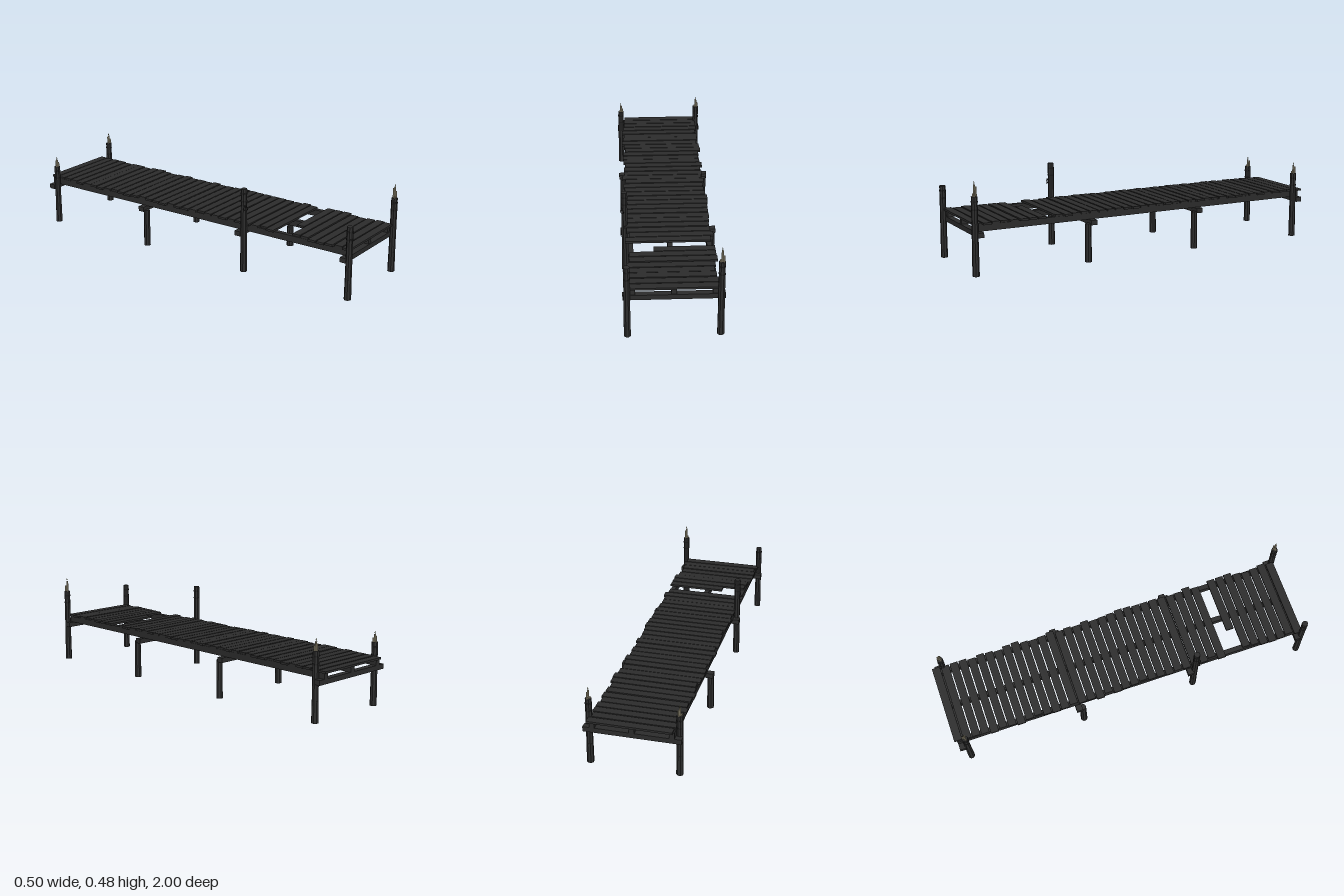
import * as THREE from 'three';

const wood = new THREE.MeshStandardMaterial({ color: 0x2c2c2c });
wood.name = 'dark wood';
const iron = new THREE.MeshStandardMaterial({ color: 0x222222 });
iron.name = 'dark iron';
const wax = new THREE.MeshStandardMaterial({ color: 0xaea58a });
wax.name = 'candle wax';
const flame = new THREE.MeshStandardMaterial({ color: 0x8a8660 });
flame.name = 'flame';

// Small repeatable generator for the uneven boards
let seed = 7;
const rand = () => {
  seed = (seed * 16807) % 2147483647;
  return seed / 2147483647 - 0.5;
};

function add(parent, name, geometry, material, x, y, z) {
  const mesh = new THREE.Mesh(geometry, material);
  mesh.name = name;
  mesh.position.set(x, y, z);
  parent.add(mesh);
  return mesh;
}

// Hard-edged upright prism standing on y = 0
function prism(rTop, rBottom, height, sides) {
  const g = new THREE.CylinderGeometry(rTop, rBottom, height, sides).toNonIndexed();
  g.rotateY(Math.PI / sides);
  g.translate(0, height / 2, 0);
  g.computeVertexNormals();
  return g;
}

// A cluster of one tall and two short candles on a post top
function candles(height) {
  const group = new THREE.Group();
  group.name = 'candles';
  const cluster = [[0, 0, 0.0055, 1], [0.008, 0.004, 0.0045, 0.56], [-0.008, 0.004, 0.004, 0.22], [0.003, -0.009, 0.004, 0.82]];
  for (const [x, z, r, share] of cluster) {
    add(group, 'candle', prism(r * 0.9, r, height * share, 7), wax, x, 0, z);
  }
  add(group, 'wick', prism(0.0008, 0.0008, 0.005, 5), iron, 0, height, 0);
  const profile = [[0, 0], [0.002, 0.002], [0.0028, 0.005], [0.0014, 0.01], [0, 0.014]];
  add(group, 'flame', new THREE.LatheGeometry(profile.map(p => new THREE.Vector2(...p)), 7), flame, 0, height + 0.003, 0);
  return group;
}

// Octagonal post with a thicker foot, optional bands and candles
function post(x, z, height, candleHeight) {
  const group = new THREE.Group();
  group.name = 'post';
  group.position.set(x, 0, z);
  add(group, 'postFoot', prism(0.0175, 0.0185, 0.11, 8), wood, 0, 0, 0);
  add(group, 'postShaft', prism(0.0165, 0.0172, height - 0.11, 8), wood, 0, 0.11, 0);
  if (height > 0.3) {
    for (const drop of [0.03, 0.07]) {
      add(group, 'postBand', prism(0.0178, 0.0178, 0.008, 8), iron, 0, height - drop, 0);
    }
  }
  if (candleHeight) {
    const cluster = candles(candleHeight);
    cluster.position.y = height;
    group.add(cluster);
  }
  return group;
}

export function createModel() {
  const model = new THREE.Group();
  model.name = 'pier';

  // Posts: x, z, height, tallest candle
  const posts = [
    [0.227, 0.981, 0.405, 0.06], [-0.227, 0.981, 0.385, 0],
    [0.227, 0.356, 0.205, 0], [-0.227, 0.356, 0.455, 0],
    [0.227, -0.287, 0.205, 0], [-0.227, -0.287, 0.205, 0],
    [0.227, -0.941, 0.36, 0.045], [-0.229, -0.941, 0.332, 0.04],
  ];
  for (const p of posts) model.add(post(...p));

  // Mooring ring on the tall post
  const ring = add(model, 'mooringRing', new THREE.TorusGeometry(0.011, 0.0018, 6, 14), iron, -0.239, 0.352, 0.374);
  ring.rotation.y = -0.8;
  add(model, 'ringBracket', new THREE.BoxGeometry(0.008, 0.008, 0.014), iron, -0.239, 0.364, 0.369);

  // Cross beams beside the posts
  for (const z of [0.958, 0.33, -0.31, -0.968]) {
    add(model, 'crossBeam', new THREE.BoxGeometry(0.496, 0.026, 0.034), wood, 0, 0.21, z);
  }

  // Three stringers running the full length
  for (const x of [-0.2, 0, 0.2]) {
    add(model, 'stringer', new THREE.BoxGeometry(0.026, 0.034, 1.955), wood, x, 0.239, -0.008);
  }

  // Deck boards, one missing and one broken short
  for (let i = 0; i < 40; i++) {
    if (i === 31) continue;
    const broken = i === 32;
    const width = broken ? 0.31 : 0.436 + rand() * 0.01;
    const shift = broken ? 0.07 : rand() * 0.022;
    const lift = rand() * 0.003;
    add(model, 'deckBoard', new THREE.BoxGeometry(width, 0.011, 0.0435), wood, shift, 0.2605 + lift, -0.978 + i * 0.0497);
  }
  return model;
}
